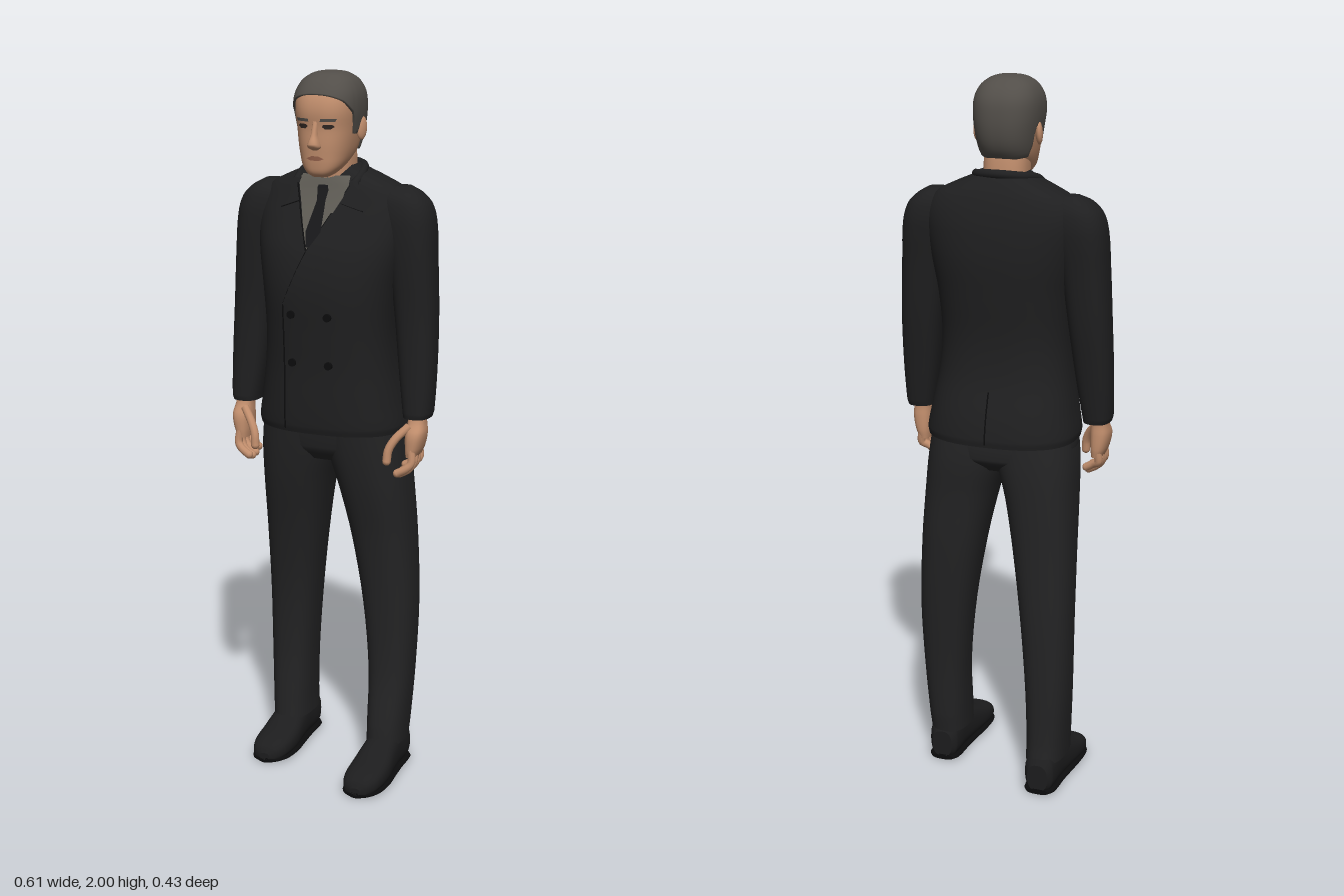
import * as THREE from 'three';

const mat = (name, color) => Object.assign(new THREE.MeshStandardMaterial({ color }), { name });
const EXP = 2.5; // roundness of every cross-section

// Ring: [y, xMin, xMax, zBack, zFront]; smooth interpolation between rings
function sample(rings, y) {
  const last = rings.length - 1;
  let i = 0;
  while (i < last - 1 && y > rings[i + 1][0]) i++;
  const a = rings[i], b = rings[i + 1], h = b[0] - a[0];
  const t = THREE.MathUtils.clamp((y - a[0]) / h, 0, 1);
  const slope = (k, c) => {
    const p = rings[Math.max(k - 1, 0)], q = rings[Math.min(k + 1, last)];
    return (q[c] - p[c]) / (q[0] - p[0]) * h;
  };
  return [y, 1, 2, 3, 4].map((_, c) => {
    if (c === 0) return y;
    const t2 = t * t, t3 = t2 * t;
    return (2 * t3 - 3 * t2 + 1) * a[c] + (t3 - 2 * t2 + t) * slope(i, c)
      + (3 * t2 - 2 * t3) * b[c] + (t3 - t2) * slope(i + 1, c);
  });
}

// Point on a ring at an angle, optionally grown outward
function ringPoint([y, x0, x1, z0, z1], angle, grow = 0) {
  const c = Math.cos(angle), s = Math.sin(angle);
  const bend = v => Math.sign(v) * Math.abs(v) ** (2 / EXP);
  return [(x0 + x1) / 2 + ((x1 - x0) / 2 + grow) * bend(c), y,
    (z0 + z1) / 2 + ((z1 - z0) / 2 + grow) * bend(s)];
}

// Closed skin over rows of points
function skin(rows) {
  const n = rows[0].length, index = [];
  for (let i = 0; i < rows.length - 1; i++) for (let j = 0; j < n; j++) {
    const k = (j + 1) % n, a = i * n + j, d = i * n + k;
    index.push(a, a + n, d, a + n, d + n, d);
  }
  const g = new THREE.BufferGeometry();
  g.setAttribute('position', new THREE.Float32BufferAttribute(rows.flat(2), 3));
  g.setIndex(index);
  g.computeVertexNormals();
  return g;
}

function loft(rings, segs = 40, steps = 4) {
  const rows = [];
  const row = r => Array.from({ length: segs }, (_, j) => ringPoint(r, j / segs * Math.PI * 2));
  const centre = r => Array.from({ length: segs }, () => [(r[1] + r[2]) / 2, r[0], (r[3] + r[4]) / 2]);
  const first = rings[0], end = rings[rings.length - 1];
  rows.push(centre(first), row(first));
  for (let i = 0; i < rings.length - 1; i++)
    for (let k = 0; k < steps; k++)
      rows.push(row(sample(rings, THREE.MathUtils.lerp(rings[i][0], rings[i + 1][0], k / steps))));
  rows.push(row(end), row(end), centre(end));
  return skin(rows);
}

// Depth of a lofted body's front (side 1) or back (side -1) at x, y
function surface(rings, x, y, side = 1) {
  const [, x0, x1, z0, z1] = sample(rings, y);
  const u = Math.min(Math.abs((x - (x0 + x1) / 2) / ((x1 - x0) / 2)), 0.98);
  return (z0 + z1) / 2 + side * (z1 - z0) / 2 * (1 - u ** EXP) ** (1 / EXP);
}

// Thin panel hugging a body's front; rows [y, xLeft, xRight] from low to high
function panel(rings, rows, lift) {
  const cols = 8, sub = 6, pos = [], index = [];
  const count = (rows.length - 1) * sub;
  for (let i = 0; i <= count; i++) {
    const k = Math.min(Math.floor(i / sub), rows.length - 2), t = i / sub - k;
    const [y, l, r] = rows[k].map((v, c) => THREE.MathUtils.lerp(v, rows[k + 1][c], t));
    for (let j = 0; j <= cols; j++) {
      const x = THREE.MathUtils.lerp(l, r, j / cols);
      pos.push(x, y, surface(rings, x, y) + lift);
      if (i < count && j < cols) {
        const a = i * (cols + 1) + j, c = a + cols + 1;
        index.push(a, a + 1, c, a + 1, c + 1, c);
      }
    }
  }
  const g = new THREE.BufferGeometry();
  g.setAttribute('position', new THREE.Float32BufferAttribute(pos, 3));
  g.setIndex(index);
  g.computeVertexNormals();
  return g;
}

const tube = (pts, r, segs = 20) => new THREE.TubeGeometry(
  new THREE.CatmullRomCurve3(pts.map(p => new THREE.Vector3(...p))), segs, r, 10);

const flip = rings => rings.map(([y, a, b, c, d]) => [y, -b, -a, c, d]);

const TORSO = [
  [1.02, -.21, .21, -.203, .113], [1.04, -.213, .213, -.205, .118], [1.1, -.203, .203, -.194, .12],
  [1.2, -.187, .187, -.165, .12], [1.3, -.181, .181, -.156, .125], [1.42, -.19, .19, -.165, .13],
  [1.52, -.207, .207, -.172, .113], [1.6, -.217, .217, -.167, .078], [1.65, -.213, .213, -.157, .054],
  [1.69, -.188, .188, -.143, .038], [1.715, -.14, .14, -.13, .03], [1.738, -.088, .088, -.113, .02],
  [1.75, -.07, .07, -.1, .01]];
const HEAD = [
  [1.725, -.022, .022, .035, .08], [1.735, -.038, .038, .01, .093], [1.755, -.055, .055, -.03, .098],
  [1.785, -.067, .067, -.078, .1], [1.815, -.074, .074, -.1, .101], [1.855, -.08, .08, -.111, .1],
  [1.9, -.085, .085, -.112, .104], [1.94, -.082, .082, -.104, .094], [1.97, -.067, .067, -.082, .07],
  [1.985, -.048, .048, -.058, .045], [1.992, -.03, .03, -.04, .025], [1.995, -.008, .008, -.015, 0]];
const ARM = [
  [1.07, .222, .296, -.06, .036], [1.085, .22, .3, -.064, .038], [1.2, .203, .303, -.08, .03],
  [1.35, .185, .3, -.1, .025], [1.5, .165, .293, -.112, .03], [1.6, .14, .287, -.12, .03],
  [1.65, .13, .273, -.115, .022], [1.68, .14, .245, -.1, .005], [1.697, .165, .215, -.075, -.03]];
const LEFT_LEG = [
  [.09, .12, .226, -.105, .056], [.15, .118, .23, -.114, .05], [.3, .112, .238, -.125, .025],
  [.5, .09, .242, -.145, .022], [.7, .055, .233, -.16, .035], [.85, .022, .223, -.162, .06],
  [.96, -.01, .212, -.167, .075], [1.08, -.02, .195, -.155, .085]];
const RIGHT_LEG = [
  [.09, -.21, -.1, -.203, -.015], [.15, -.213, -.1, -.197, -.02], [.3, -.22, -.095, -.195, -.03],
  [.5, -.221, -.077, -.19, -.02], [.7, -.218, -.048, -.18, .015], [.85, -.215, -.02, -.175, .05],
  [.96, -.212, .01, -.17, .07], [1.08, -.195, .02, -.155, .085]];
// Shoe rings run from heel to toe: [z, xMin, xMax, -top, -bottom]
const SHOE = [
  [0, -.03, .03, -.09, -.01], [.02, -.043, .043, -.12, 0], [.1, -.047, .047, -.13, 0],
  [.16, -.052, .052, -.112, 0], [.22, -.057, .057, -.086, 0], [.28, -.056, .05, -.066, 0],
  [.312, -.042, .03, -.048, 0], [.323, -.02, .01, -.03, -.008]];

export function createModel() {
  const root = new THREE.Group();
  const jacket = mat('jacket black', 0x1f1f20), trousers = mat('trouser black', 0x232324);
  const shoe = mat('shoe black', 0x1d1d1e), seam = mat('seam black', 0x0c0c0d);
  const flesh = mat('skin', 0xc08d6c), lip = mat('lip', 0x94614b), hair = mat('hair grey', 0x524e49);
  const shirt = mat('shirt grey', 0x5f5c55), tie = mat('tie black', 0x18181a), eye = mat('eye brown', 0x2e2622);
  const add = (name, geo, m, parent = root) => {
    const mesh = new THREE.Mesh(geo, m);
    mesh.name = name;
    parent.add(mesh);
    return mesh;
  };

  // Suit
  add('jacketBody', loft(TORSO, 64, 5), jacket);
  add('hips', loft([[.93, -.1, .1, -.13, .045], [.97, -.2, .2, -.165, .07], [1.1, -.19, .19, -.15, .085]]), trousers);
  add('leftLeg', loft(LEFT_LEG), trousers);
  add('rightLeg', loft(RIGHT_LEG), trousers);
  add('jacketCollar', tube([[.085, 1.705, .03], [.085, 1.733, -.03], [.06, 1.745, -.085], [0, 1.75, -.105],
    [-.06, 1.745, -.085], [-.085, 1.733, -.03], [-.085, 1.705, .03]], .012, 40), jacket);

  // Shirt, tie and lapels
  add('shirtFront', panel(TORSO, [[1.53, -.024, -.016], [1.7, -.075, .07], [1.725, -.07, .07]], .004), shirt);
  add('tie', panel(TORSO, [[1.54, -.022, -.012], [1.58, -.03, .014], [1.66, -.013, .012], [1.7, -.018, .018]], .008), tie);
  for (const s of [-1, 1]) {
    const rows = [[1.63, .034, .04], [1.67, .022, .062], [1.72, .008, .07]];
    add('shirtCollar', panel(TORSO, rows.map(([y, a, b]) => s > 0 ? [y, a, b] : [y, -b, -a]), .011), shirt);
  }
  add('leftLapel', panel(TORSO, [[1.38, -.088, -.083], [1.53, -.02, .05], [1.63, .035, .125], [1.65, .046, .1], [1.71, .075, .1]], .006), jacket);
  add('rightLapel', panel(TORSO, [[1.48, -.06, -.042], [1.53, -.075, -.022], [1.63, -.125, -.058], [1.65, -.1, -.066], [1.71, -.1, -.08]], .005), jacket);

  // Seams follow the jacket surface
  const stitch = (name, pts, side = 1) => {
    const path = [];
    for (let i = 0; i <= 16; i++) {
      const f = i / 16 * (pts.length - 1), k = Math.min(Math.floor(f), pts.length - 2);
      const [x, y] = [0, 1].map(c => THREE.MathUtils.lerp(pts[k][c], pts[k + 1][c], f - k));
      path.push([x, y, surface(TORSO, x, y, side) + side * .004]);
    }
    add(name, tube(path, .002, 32), seam);
  };
  stitch('lapelEdge', [[.074, 1.7], [.035, 1.63], [-.02, 1.53], [-.086, 1.38]]);
  stitch('innerLapelEdge', [[-.08, 1.7], [-.058, 1.63], [-.022, 1.53]]);
  stitch('frontEdge', [[-.086, 1.38], [-.085, 1.03]]);
  stitch('leftLapelNotch', [[.05, 1.655], [.12, 1.635]]);
  stitch('rightLapelNotch', [[-.066, 1.655], [-.12, 1.635]]);
  stitch('backVent', [[0, 1.03], [0, 1.17]], -1);
  for (const x of [-.06, .048]) for (const y of [1.22, 1.355]) {
    const button = add('button', new THREE.CylinderGeometry(.011, .011, .01, 16).rotateX(Math.PI / 2), seam);
    button.position.set(x, y, surface(TORSO, x, y) + .003);
  }

  // Sleeves and hands
  for (const s of [1, -1]) {
    const side = s > 0 ? 'left' : 'right', turn = r => s > 0 ? r : flip(r);
    add(side + 'Sleeve', loft(turn(ARM)), jacket);
    const hand = new THREE.Group();
    hand.name = side + 'Hand';
    root.add(hand);
    add('palm', loft(turn([[.965, .24, .272, -.03, .05], [.99, .237, .283, -.034, .053], [1.03, .236, .291, -.033, .05],
      [1.06, .238, .287, -.03, .03], [1.1, .236, .286, -.034, .02]]), 24), flesh, hand);
    const digit = (name, pts, r) => {
      const path = pts.map(([x, y, z]) => [x * s, y, z]);
      add(name, tube(path, r, 12), flesh, hand);
      add(name + 'Tip', new THREE.SphereGeometry(r, 10, 8), flesh, hand).position.set(...path[path.length - 1]);
    };
    for (let i = 0; i < 4; i++) {
      const z = -.022 + i * .021, drop = [.015, .003, 0, .006][i];
      digit('finger', [[.26, .99, z], [.263, .95, z + .006], [.25, .928 + drop, z + .012], [.226, .914 + drop, z + .016]], .0115);
    }
    digit('thumb', [[.25, 1.05, .03], [.218, 1.015, .055], [.203, .985, .066], [.2, .955, .07]], .012);
  }

  // Shoes, left foot ahead of the right
  for (const [name, x, z] of [['leftShoe', .176, -.107], ['rightShoe', -.156, -.21]]) {
    const g = new THREE.Group();
    g.name = name;
    g.position.set(x, 0, z);
    root.add(g);
    add('upper', loft(SHOE, 32).rotateX(Math.PI / 2), shoe, g);
    add('sole', loft(SHOE.map(([a, l, r]) => [a, l - .002, r + .002, -.016, 0]), 32).rotateX(Math.PI / 2), seam, g);
  }

  // Head and neck
  const head = new THREE.Group();
  head.name = 'head';
  root.add(head);
  add('neck', loft([[1.66, -.075, .075, -.1, .03], [1.72, -.062, .062, -.093, .033], [1.78, -.06, .06, -.088, .04],
    [1.82, -.055, .055, -.08, .04]]), flesh, head);
  add('face', loft(HEAD, 48), flesh, head);
  add('nose', loft([[1.799, -.009, .009, .08, .106], [1.806, -.017, .017, .08, .12], [1.816, -.016, .016, .08, .126],
    [1.84, -.009, .009, .08, .115], [1.875, -.008, .008, .08, .103]], 20), flesh, head);
  add('mouth', panel(HEAD, [[1.771, -.012, .012], [1.776, -.025, .025], [1.783, -.01, .01]], .002), lip, head);
  for (const s of [-1, 1]) {
    const span = rows => rows.map(([y, a, b]) => s > 0 ? [y, a, b] : [y, -b, -a]);
    add('eye', panel(HEAD, span([[1.855, .028, .043], [1.861, .02, .052], [1.867, .026, .046]]), .002), eye, head);
    add('eyebrow', panel(HEAD, span([[1.874, .016, .054], [1.882, .018, .058]]), .004), hair, head);
    const ear = add('ear', new THREE.SphereGeometry(1, 16, 12), flesh, head);
    ear.scale.set(.01, .032, .019);
    ear.position.set(s * .086, 1.85, -.016);
    ear.rotation.set(-.15, s * -.3, 0);
  }

  // Hair: a shell over the skull, cut by a hairline that varies round the head
  const line = [[-1, 1.785], [-.5, 1.79], [-.32, 1.82], [-.22, 1.87], [-.02, 1.872], [.06, 1.838],
    [.2, 1.838], [.32, 1.895], [.65, 1.925], [1, 1.943]];
  const hairline = f => {
    let i = 0;
    while (i < line.length - 2 && f > line[i + 1][0]) i++;
    const [a, b] = [line[i], line[i + 1]];
    return THREE.MathUtils.mapLinear(f, a[0], b[0], a[1], b[1]);
  };
  const rows = [];
  for (let i = -1; i <= 24; i++) rows.push(Array.from({ length: 96 }, (_, j) => {
    const a = j / 96 * Math.PI * 2, low = hairline(Math.sin(a));
    const t = Math.sin(Math.max(i, 0) / 24 * Math.PI / 2);
    const p = ringPoint(sample(HEAD, THREE.MathUtils.lerp(low, 1.995, t)), a, i < 0 ? -.004 : .006);
    p[1] += .005 * t;
    return p;
  }));
  rows.push(rows[0].map(() => [0, 2, -.0075]));
  add('hair', skin(rows), hair, head);
  return root;
}
